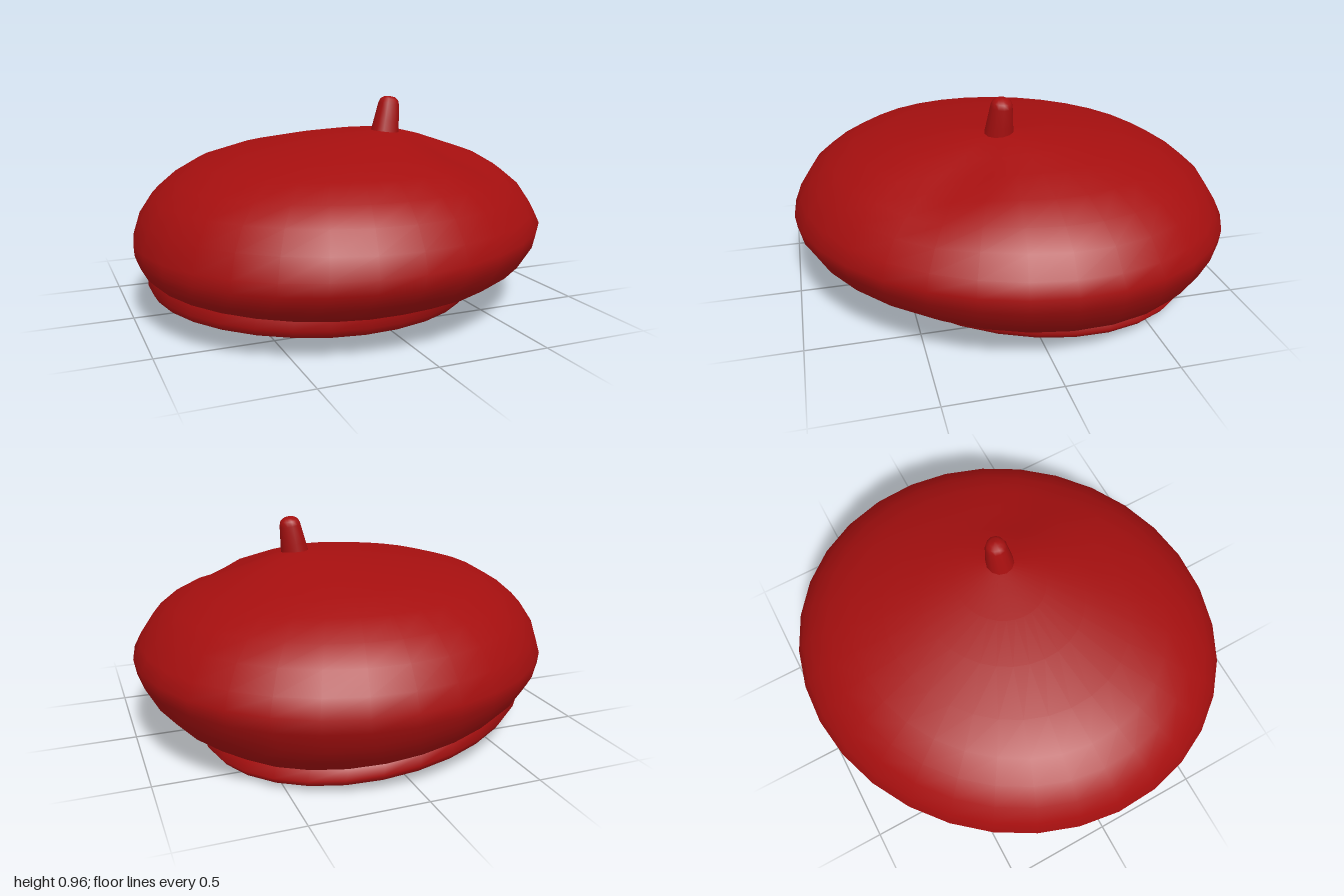
import * as THREE from 'three';

const SIDES = 32;
const felt = new THREE.MeshStandardMaterial({ color: 0xa50f0f, side: THREE.DoubleSide });

// Shallow fold pressed into the top of the crown
function dent(x, z, y) {
  if (y < 0.5) return 0;
  const along = (x + z) / Math.SQRT2 - 0.6, across = (x - z) / Math.SQRT2 - 0.08;
  return -0.045 * Math.exp(-(along * along) / 0.06 - (across * across) / 0.03);
}

// Skin over tilted oval rings, listed bottom to top.
// Ring: [centre x, centre z, height, tilt along x, short radius, long radius];
// the long axis of each oval runs along the x = -z diagonal.
function loft(rings) {
  const pos = [], index = [];
  for (const [cx, cz, y, tilt, a, b] of rings) {
    for (let j = 0; j < SIDES; j++) {
      const t = (j / SIDES) * Math.PI * 2;
      const u = (a * Math.cos(t)) / Math.SQRT2, v = (b * Math.sin(t)) / Math.SQRT2;
      const x = cx + u + v, z = cz + u - v;
      pos.push(x, y + tilt * x + dent(x, z, y), z);
    }
  }
  for (let i = 0; i < rings.length - 1; i++) {
    for (let j = 0; j < SIDES; j++) {
      const k = (j + 1) % SIDES, p = i * SIDES, q = p + SIDES;
      index.push(p + j, p + k, q + k, p + j, q + k, q + j);
    }
  }
  const g = new THREE.BufferGeometry();
  g.setAttribute('position', new THREE.Float32BufferAttribute(pos, 3));
  g.setIndex(index);
  g.computeVertexNormals();
  return g;
}

export function createModel() {
  const group = new THREE.Group();
  const add = (name, geometry) => {
    const mesh = new THREE.Mesh(geometry, felt);
    mesh.name = name;
    group.add(mesh);
    return mesh;
  };

  // Head band around the opening
  const seam = [-0.11, -0.04, 0.135, -0.077, 0.74, 0.90];
  add('headBand', loft([
    [-0.1, -0.05, 0.053, -0.069, 0.69, 0.86],
    [-0.105, -0.05, 0.068, -0.07, 0.72, 0.90],
    [-0.105, -0.05, 0.098, -0.073, 0.74, 0.92],
    seam,
  ]));

  // Puffed crown, closing at the stem
  add('crown', loft([
    seam,
    [-0.065, -0.015, 0.19, -0.055, 0.83, 0.97],
    [-0.03, 0, 0.25, -0.03, 0.89, 1.01],
    [-0.005, 0, 0.32, 0.01, 0.93, 1.04],
    [0, 0, 0.38, 0.02, 0.94, 1.045],
    [0, 0, 0.46, 0, 0.91, 1.01],
    [0, 0, 0.55, 0, 0.85, 0.95],
    [0, 0, 0.62, 0, 0.77, 0.86],
    [0, 0, 0.685, 0, 0.66, 0.74],
    [0.01, 0, 0.735, 0, 0.51, 0.57],
    [0.07, 0.01, 0.775, 0, 0.34, 0.38],
    [0.12, 0.03, 0.803, 0, 0.19, 0.21],
    [0.2, 0.06, 0.816, 0, 0.002, 0.002],
  ]));

  // Leaning stem with a rounded tip
  const profile = [[0.07, 0], [0.06, 0.08], [0.05, 0.16], [0.042, 0.182], [0.025, 0.194], [0, 0.197]];
  const stem = add('stem', new THREE.LatheGeometry(profile.map(([r, y]) => new THREE.Vector2(r, y)), 12));
  stem.position.set(0.2, 0.775, 0.073);
  stem.rotation.set(-0.05, 0, -0.17);

  return group;
}
